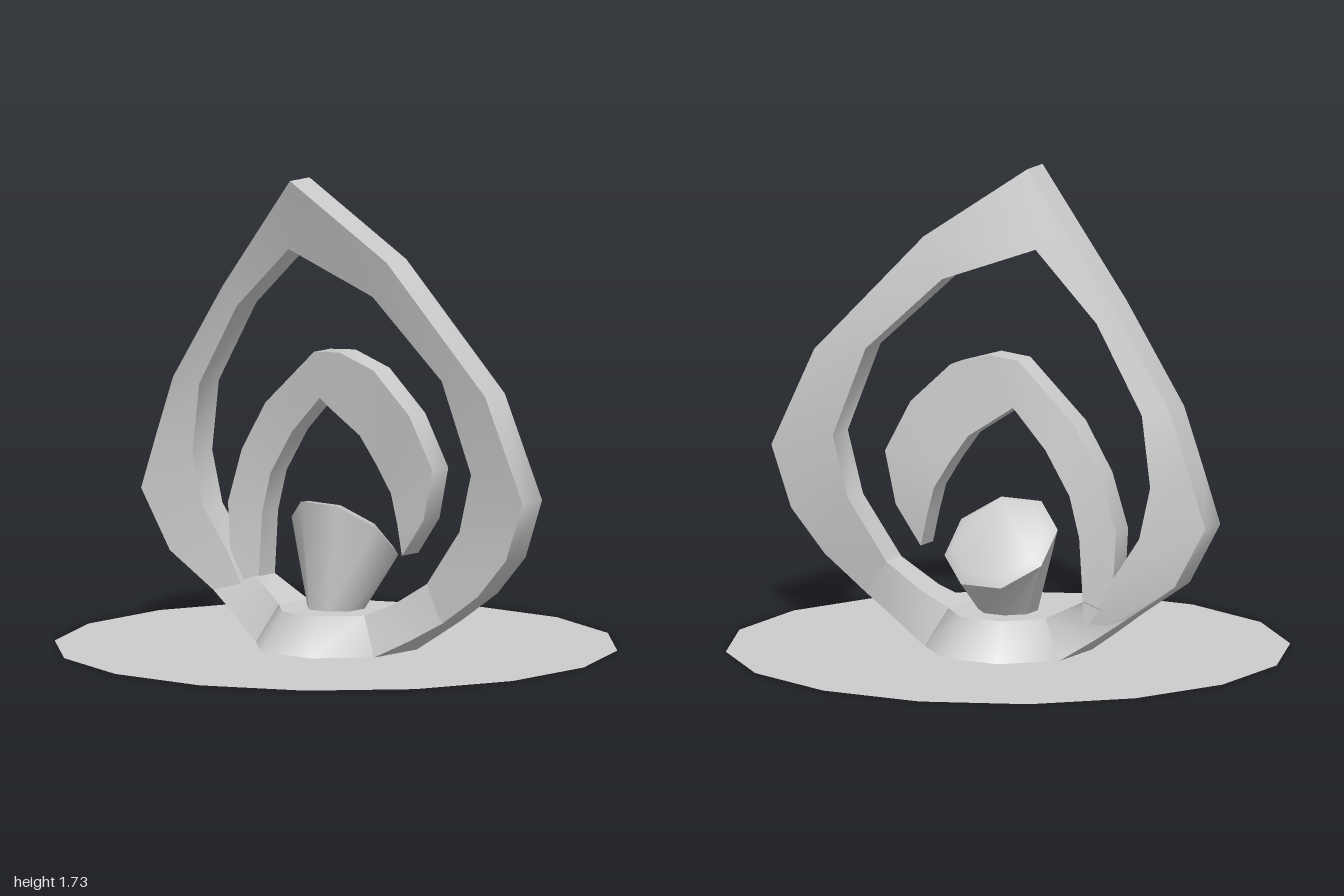
import * as THREE from 'three';
import { toCreasedNormals } from 'three/addons/utils/BufferGeometryUtils.js';

const grey = new THREE.MeshStandardMaterial({ color: 0xcccccc, side: THREE.DoubleSide });
grey.name = 'light grey';

// Skin a row of closed cross-sections; rings run counterclockwise about the sweep direction
function loft(rings, capStart, capEnd) {
  const pos = [];
  const tri = (a, b, c) => pos.push(...a, ...b, ...c);
  const n = rings[0].length;
  for (let r = 0; r + 1 < rings.length; r++) {
    const a = rings[r], b = rings[r + 1];
    for (let i = 0; i < n; i++) {
      const j = (i + 1) % n;
      tri(a[i], a[j], b[j]);
      tri(a[i], b[j], b[i]);
    }
  }
  const first = rings[0], last = rings[rings.length - 1];
  for (let i = 1; i + 1 < n; i++) {
    if (capStart) tri(first[0], first[i + 1], first[i]);
    if (capEnd) tri(last[0], last[i], last[i + 1]);
  }
  const g = new THREE.BufferGeometry();
  g.setAttribute('position', new THREE.Float32BufferAttribute(pos, 3));
  return toCreasedNormals(g, 0.85);
}

// Octagon with the given half width, tilted backwards about x
function octagon(half, y, z = 0, tilt = 0) {
  const R = half / Math.cos(Math.PI / 8);
  return Array.from({ length: 8 }, (_, i) => {
    const a = (i + 0.5) * Math.PI / 4, d = R * Math.cos(a);
    return [R * Math.sin(a), y + d * Math.sin(tilt), z + d * Math.cos(tilt)];
  });
}

// Thick band: each row is outer x, y, back z, then inner x, y, back z
function band(rows, depth) {
  return loft(rows.map(([ox, oy, oz, ix, iy, iz]) => [
    [ox, oy, oz], [ox, oy, oz + depth], [ix, iy, iz + depth], [ix, iy, iz],
  ]), true, true);
}

// Arm from the pedestal: each row is top x, y, back z, front z, then the same for the bottom
function arm(rows, side) {
  return loft(rows.map(([tx, ty, tb, tf, bx, by, bb, bf]) => {
    const ring = [[tx, ty, tb], [tx, ty, tf], [bx, by, bf], [bx, by, bb]]
      .map(([x, y, z]) => [x * side, y, z]);
    return side < 0 ? ring.reverse() : ring;
  }), false, true);
}

export function createModel() {
  const model = new THREE.Group();
  const add = (name, geometry) => {
    const mesh = new THREE.Mesh(geometry, grey);
    mesh.name = name;
    model.add(mesh);
    return mesh;
  };

  // Flat sixteen-sided ground disc with an octagonal opening
  const disc = new THREE.Shape(Array.from({ length: 16 }, (_, i) => {
    const a = (i + 0.5) * Math.PI / 8, R = 1 / Math.cos(Math.PI / 16);
    return new THREE.Vector2(R * Math.cos(a), R * Math.sin(a));
  }));
  disc.holes.push(new THREE.Path(octagon(0.28, 0).map(p => new THREE.Vector2(p[0], p[2]))));
  add('groundDisc', new THREE.ShapeGeometry(disc).rotateX(-Math.PI / 2));

  // Hollow pedestal, slanted cup and its raised lid
  add('pedestal', loft([octagon(0.28, 0), octagon(0.2, 0.14), octagon(0.1, 0.14)]));
  const tilt = 0.74;
  const rim = octagon(0.2, 0.395, -0.05, tilt);
  add('cup', loft([octagon(0.1, 0.14), rim]));
  const lid = octagon(0.168, 0.395 + 0.025 * Math.cos(tilt), -0.05 - 0.025 * Math.sin(tilt), tilt);
  add('cupLid', loft([rim, lid], false, true));

  // Arms joining the pedestal to the bands
  add('leftArm', arm([
    [0.2, 0.14, -0.08, 0.08, 0.28, 0, -0.12, 0.12],
    [0.32, 0.19, -0.07, 0.06, 0.42, 0.07, -0.07, 0.09],
    [0.47, 0.28, -0.06, 0.05, 0.57, 0.15, -0.03, 0.08],
  ], 1));
  add('rightArm', arm([
    [0.2, 0.14, -0.08, 0.08, 0.28, 0, -0.12, 0.12],
    [0.28, 0.18, -0.08, 0.05, 0.4, 0.08, -0.07, 0.09],
    [0.36, 0.22, -0.08, 0.03, 0.51, 0.16, -0.03, 0.08],
  ], -1));

  // Large pointed band, from the lower right round to the lower left
  add('outerBand', band([
    [-0.51, 0.16, -0.03, -0.35, 0.08, -0.07],
    [-0.69, 0.29, 0, -0.465, 0.31, -0.05],
    [-0.8, 0.51, 0.03, -0.56, 0.46, -0.03],
    [-0.73, 0.71, 0.03, -0.6, 0.65, -0.02],
    [-0.65, 0.93, 0.03, -0.56, 0.91, -0.01],
    [-0.4, 1.29, 0.05, -0.35, 1.22, 0.03],
    [0.01, 1.73, 0.16, -0.08, 1.46, 0.06],
    [0.39, 1.46, 0.07, 0.29, 1.32, 0.03],
    [0.82, 1.01, 0.03, 0.59, 1.04, 0],
    [1, 0.64, 0.035, 0.72, 0.71, -0.01],
    [0.91, 0.42, 0.02, 0.64, 0.49, -0.04],
    [0.76, 0.27, 0, 0.47, 0.28, -0.06],
    [0.57, 0.15, -0.03, 0.34, 0.09, -0.07],
  ], 0.11));

  // Small inner band, ending in a free point
  add('innerBand', band([
    [-0.36, 0.09, -0.07, -0.35, 0.08, -0.07],
    [-0.465, 0.31, -0.05, -0.355, 0.22, -0.08],
    [-0.475, 0.48, -0.05, -0.34, 0.45, -0.08],
    [-0.41, 0.68, -0.05, -0.3, 0.6, -0.08],
    [-0.3, 0.86, -0.05, -0.2, 0.76, -0.08],
    [-0.07, 1.07, -0.05, -0.06, 0.9, -0.07],
    [0.05, 1.08, -0.05, 0, 0.86, -0.07],
    [0.21, 1.03, -0.05, 0.12, 0.78, -0.08],
    [0.37, 0.88, -0.06, 0.19, 0.68, -0.09],
    [0.47, 0.69, -0.07, 0.25, 0.58, -0.1],
    [0.42, 0.5, -0.08, 0.28, 0.47, -0.1],
    [0.315, 0.365, -0.09, 0.31, 0.36, -0.09],
  ], 0.09));

  return model;
}
